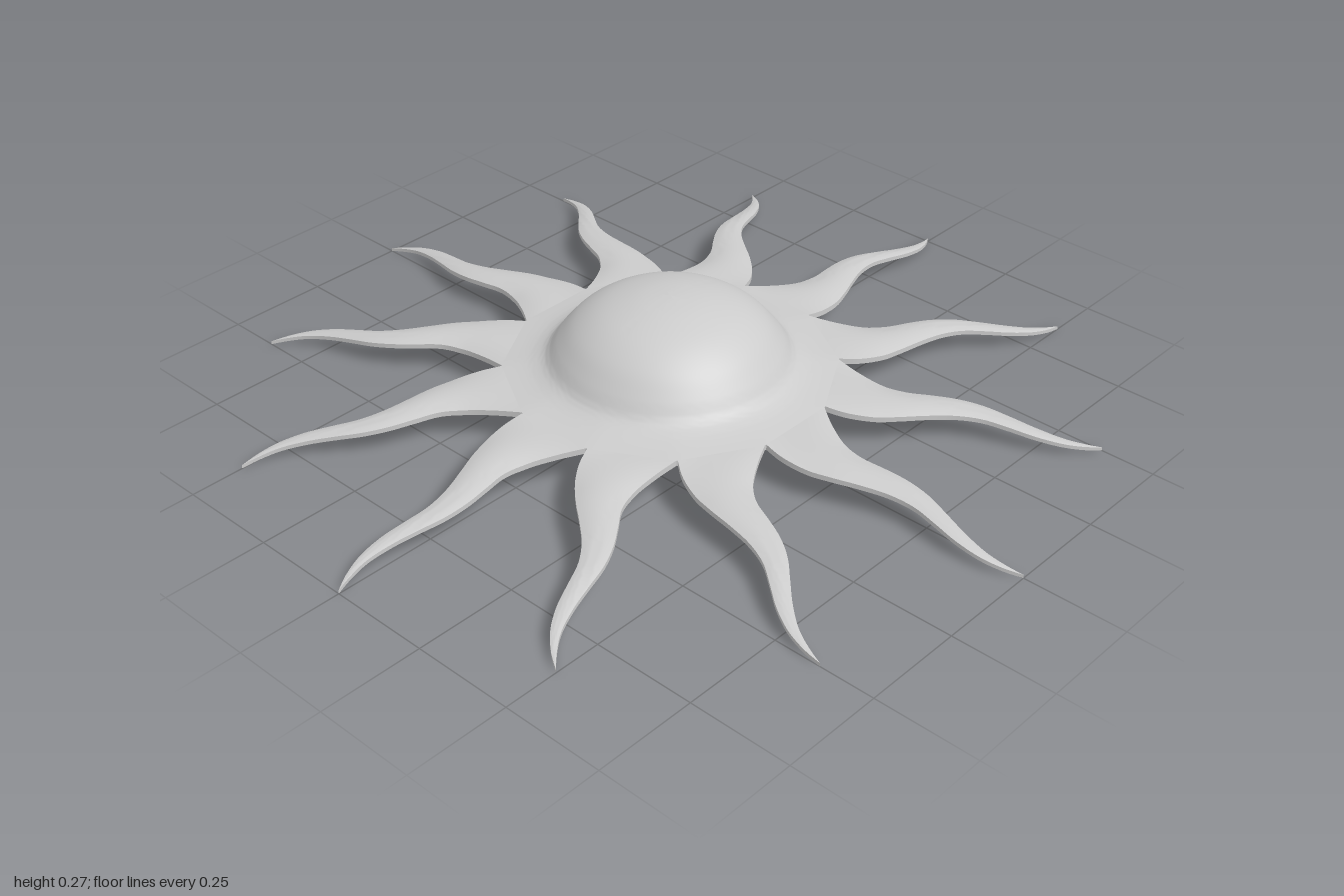
import * as THREE from 'three';
import { toCreasedNormals } from 'three/addons/utils/BufferGeometryUtils.js';

const RAYS = 12, STEP = (Math.PI * 2) / RAYS, RIM = 0.38, THICK = 0.014;
const material = new THREE.MeshStandardMaterial({ color: 0xcccccc, side: THREE.DoubleSide });
const v2 = (list) => list.map(([x, y]) => new THREE.Vector2(x, y));

// Hollow dome flaring into a twelve-sided brim
function domeGeometry() {
  const outer = new THREE.SplineCurve(v2([
    [0, 0.275], [0.08, 0.267], [0.16, 0.243], [0.22, 0.205], [0.262, 0.158],
    [0.288, 0.122], [0.315, 0.107], [0.345, 0.099], [RIM, 0.093],
  ])).getPoints(40);
  outer[0].x = 0;
  // Inner skin: the outer profile pushed along its normal
  const inner = outer.map((p, i) => {
    const a = outer[Math.max(i - 1, 0)], b = outer[Math.min(i + 1, outer.length - 1)];
    const d = b.clone().sub(a).normalize();
    return new THREE.Vector2(p.x + d.y * THICK, p.y - d.x * THICK);
  });
  inner[0].x = 0;
  inner[inner.length - 1].x = RIM;
  const geo = new THREE.LatheGeometry([...inner, ...outer.reverse()], 96);
  // Blend the round plan into a dodecagon towards the rim
  const pos = geo.attributes.position;
  for (let i = 0; i < pos.count; i++) {
    const x = pos.getX(i), z = pos.getZ(i);
    const angle = Math.atan2(x, z);
    const off = angle - Math.round(angle / STEP) * STEP;
    const blend = THREE.MathUtils.smoothstep(Math.hypot(x, z), 0.28, RIM);
    const k = 1 + blend * (1 / Math.cos(off) - 1);
    pos.setX(i, x * k);
    pos.setZ(i, z * k);
  }
  return toCreasedNormals(geo, 0.7);
}

// Wavy flame pointing to -z: thin, slightly crowned and drooping to the tip
function rayGeometry() {
  const left = new THREE.SplineCurve(v2([
    [0.38, -0.1], [0.43, -0.066], [0.49, -0.035], [0.55, -0.022], [0.61, -0.028], [0.67, -0.033],
    [0.73, -0.028], [0.79, -0.012], [0.85, 0.004], [0.91, 0.013], [0.96, 0.009], [1, 0],
  ]));
  const right = new THREE.SplineCurve(v2([
    [0.38, 0.1], [0.43, 0.105], [0.49, 0.098], [0.55, 0.08], [0.61, 0.056], [0.67, 0.035],
    [0.73, 0.026], [0.79, 0.032], [0.85, 0.039], [0.91, 0.036], [0.96, 0.021], [1, 0],
  ]));
  const stations = 48, across = 8, ring = 2 * (across + 1);
  const verts = [], index = [];
  for (let s = 0; s <= stations; s++) {
    const l = left.getPoint(s / stations), r = right.getPoint(s / stations);
    const t = (l.x - RIM) / (1 - RIM);
    const thick = THICK * (1 - 0.4 * t);
    const top = 0.093 - 0.084 * t * t;
    const crown = 0.1 * (r.y - l.y) * Math.min(1, t * 5);
    for (let j = 0; j < ring; j++) {
      const upper = j <= across;
      const u = (upper ? j : ring - 1 - j) / across;
      const y = top - crown * (2 * u - 1) ** 2 - (upper ? 0 : thick);
      verts.push(l.y + (r.y - l.y) * u, Math.max(y, 0), -l.x);
    }
  }
  for (let s = 0; s < stations; s++) {
    for (let j = 0; j < ring; j++) {
      const a = s * ring + j, b = s * ring + ((j + 1) % ring);
      index.push(a, b, a + ring, b, b + ring, a + ring);
    }
  }
  const geo = new THREE.BufferGeometry();
  geo.setAttribute('position', new THREE.Float32BufferAttribute(verts, 3));
  geo.setIndex(index);
  return toCreasedNormals(geo, 0.7);
}

export function createModel() {
  const model = new THREE.Group();
  model.name = 'sunOrnament';

  const dome = new THREE.Mesh(domeGeometry(), material);
  dome.name = 'dome';
  model.add(dome);

  // Twelve flames, one on each flat of the brim
  const flame = rayGeometry();
  for (let i = 0; i < RAYS; i++) {
    const ray = new THREE.Mesh(flame, material);
    ray.name = `ray${i + 1}`;
    ray.rotation.y = i * STEP;
    model.add(ray);
  }
  return model;
}
